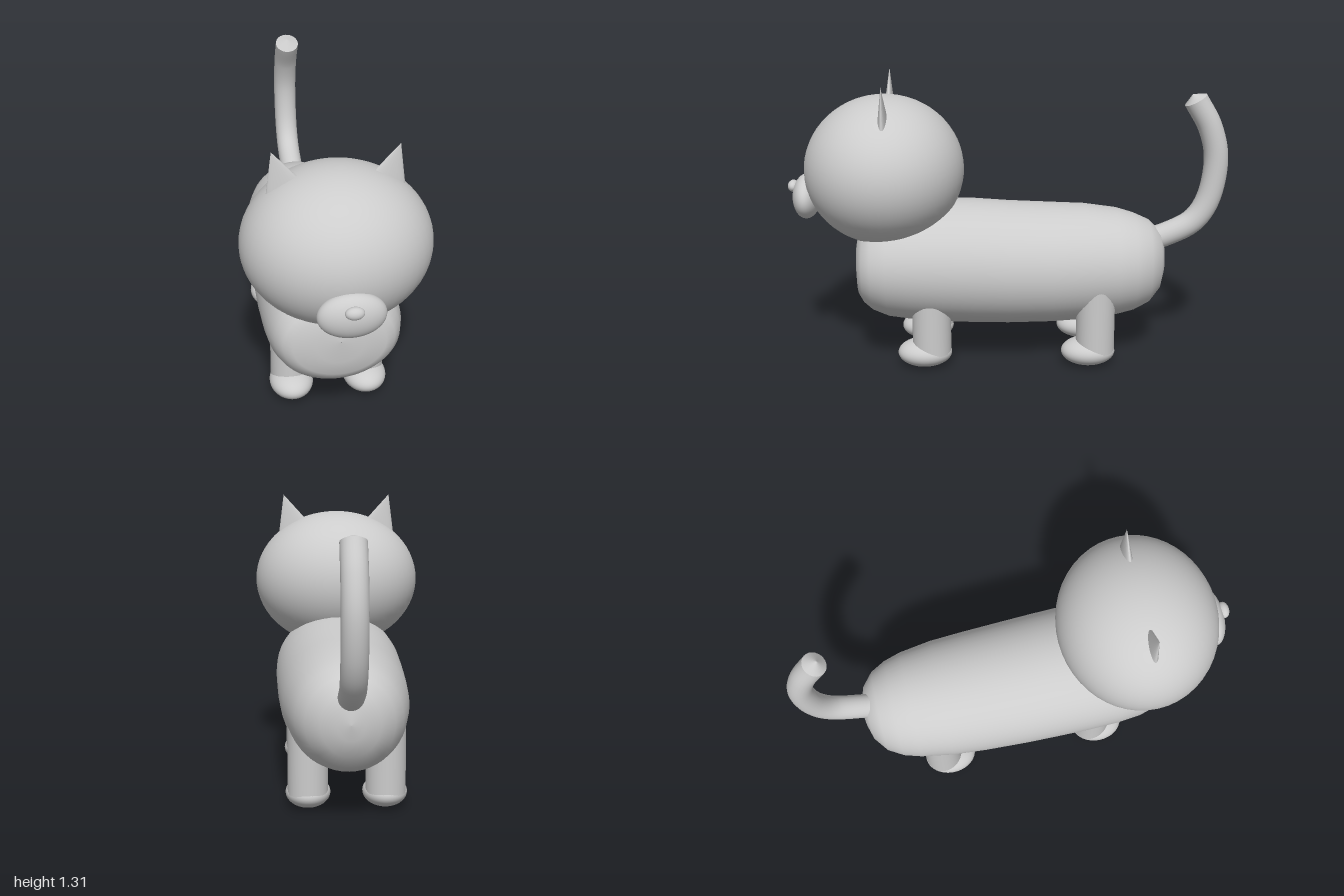
import * as THREE from 'three';

const grey = new THREE.MeshStandardMaterial({ color: 0xcccccc });
grey.name = 'plain grey';

// Closed loft along z; each station is [z, half width, bottom y, top y]
function loft(stations, sides) {
  const pos = [], idx = [];
  stations.forEach(([z, w, bottom, top], i) => {
    for (let j = 0; j < sides; j++) {
      const a = (j / sides) * Math.PI * 2;
      pos.push(w * Math.cos(a), (top + bottom) / 2 + ((top - bottom) / 2) * Math.sin(a), z);
      if (i === stations.length - 1) continue;
      const p = i * sides + j, q = i * sides + (j + 1) % sides;
      idx.push(p, p + sides, q, q, p + sides, q + sides);
    }
  });
  const g = new THREE.BufferGeometry();
  g.setAttribute('position', new THREE.Float32BufferAttribute(pos, 3));
  g.setIndex(idx);
  g.computeVertexNormals();
  return g;
}

export function createModel() {
  const cat = new THREE.Group();
  cat.name = 'cat';

  const add = (name, geometry, x = 0, y = 0, z = 0) => {
    const m = new THREE.Mesh(geometry, grey);
    m.name = name;
    m.position.set(x, y, z);
    cat.add(m);
    return m;
  };
  const ellipsoid = (name, c, r) => {
    const m = add(name, new THREE.SphereGeometry(1, 48, 32), ...c);
    m.scale.set(...r);
    return m;
  };

  // Long rounded body, chest to rump
  add('body', loft([
    [0.7, 0.001, 0.479, 0.481],
    [0.695, 0.1, 0.37, 0.55],
    [0.682, 0.2, 0.3, 0.61],
    [0.66, 0.24, 0.265, 0.645],
    [0.62, 0.27, 0.23, 0.69],
    [0.55, 0.29, 0.2, 0.72],
    [0.45, 0.3, 0.185, 0.735],
    [0.3, 0.303, 0.172, 0.742],
    [0.15, 0.3, 0.165, 0.738],
    [0, 0.296, 0.162, 0.727],
    [-0.2, 0.287, 0.165, 0.718],
    [-0.35, 0.276, 0.175, 0.712],
    [-0.5, 0.252, 0.195, 0.692],
    [-0.58, 0.228, 0.215, 0.668],
    [-0.65, 0.188, 0.25, 0.637],
    [-0.7, 0.125, 0.31, 0.59],
    [-0.72, 0.06, 0.38, 0.53],
    [-0.728, 0.001, 0.449, 0.451],
  ], 48));

  // Head and face
  ellipsoid('head', [0, 0.89, 0.56], [0.4, 0.335, 0.36]);
  ellipsoid('muzzle', [0, 0.765, 0.915], [0.14, 0.1, 0.063]);
  ellipsoid('nose', [0, 0.812, 0.975], [0.039, 0.027, 0.025]);

  for (const [side, s] of [['left', 1], ['right', -1]]) {
    // Flattened, outward-leaning ear
    const ear = add(side + 'Ear', new THREE.ConeGeometry(0.12, 0.26, 32), s * 0.221, 1.184, 0.545);
    ear.rotation.z = -s * 0.305;
    ear.scale.z = 0.28;

    // Legs and paws
    for (const [end, z] of [['Front', 0.352], ['Back', -0.395]]) {
      add(side + end + 'Leg', new THREE.CylinderGeometry(0.088, 0.088, 0.36, 32), s * 0.169, 0.25, z);
      ellipsoid(side + end + 'Paw', [s * 0.168, 0.066, z + 0.032], [0.098, 0.064, 0.123]);
    }
  }

  // Curved tail with a blunt conical tip
  const path = new THREE.CatmullRomCurve3([
    [0.545, -0.65], [0.567, -0.72], [0.635, -0.85], [0.735, -0.915],
    [0.93, -0.945], [1.075, -0.912], [1.2, -0.842],
  ].map(([y, z]) => new THREE.Vector3(0, y, z)));
  add('tail', new THREE.TubeGeometry(path, 48, 0.055, 24));
  const tangent = path.getTangent(1), end = path.getPoint(1).addScaledVector(tangent, 0.015);
  const tip = add('tailTip', new THREE.ConeGeometry(0.055, 0.03, 24), end.x, end.y, end.z);
  tip.quaternion.setFromUnitVectors(new THREE.Vector3(0, 1, 0), tangent);

  return cat;
}
